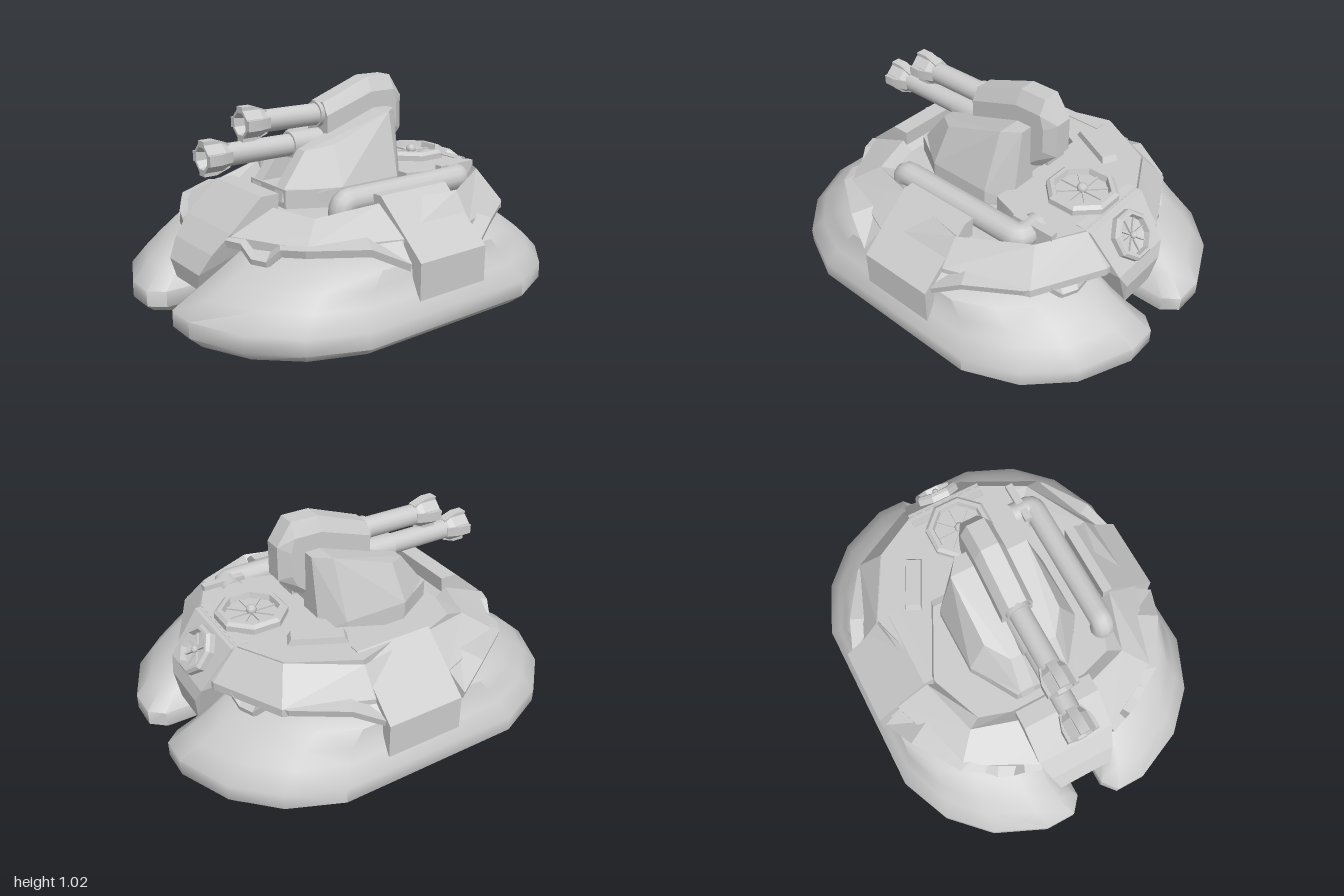
import * as THREE from 'three';
import { toCreasedNormals } from 'three/addons/utils/BufferGeometryUtils.js';
import { ConvexGeometry } from 'three/addons/geometries/ConvexGeometry.js';

const grey = new THREE.MeshStandardMaterial({ color: 0xcccccc });
const greyDouble = new THREE.MeshStandardMaterial({ color: 0xcccccc, side: THREE.DoubleSide });
const V = (x, y, z) => new THREE.Vector3(x, y, z);

function add(parent, name, geo, crease = 0.5, mat = grey) {
  const mesh = new THREE.Mesh(toCreasedNormals(geo, crease), mat);
  mesh.name = name;
  parent.add(mesh);
  return mesh;
}

// Closed solid through rings of equal length; winding is fixed by signed volume
function loft(rings) {
  const n = rings[0].length, pts = rings.flat(), idx = [];
  for (let r = 0; r < rings.length - 1; r++)
    for (let j = 0; j < n; j++) {
      const a = r * n + j, b = r * n + (j + 1) % n;
      idx.push(a, b, b + n, a, b + n, a + n);
    }
  [0, rings.length - 1].forEach((r, end) => {
    const c = V(0, 0, 0);
    rings[r].forEach(p => c.addScaledVector(p, 1 / n));
    const ci = pts.push(c) - 1;
    for (let j = 0; j < n; j++) {
      const a = r * n + j, b = r * n + (j + 1) % n;
      end ? idx.push(a, b, ci) : idx.push(b, a, ci);
    }
  });
  let vol = 0;
  for (let i = 0; i < idx.length; i += 3)
    vol += pts[idx[i]].dot(pts[idx[i + 1]].clone().cross(pts[idx[i + 2]]));
  if (vol < 0) idx.reverse();
  const g = new THREE.BufferGeometry().setFromPoints(pts);
  g.setIndex(idx);
  return g;
}

// Prism from a side profile of [z, y] pairs, extruded along x
function sideSolid(profile, x0, x1) {
  const s = new THREE.Shape(profile.map(([z, y]) => new THREE.Vector2(-z, y)));
  return new THREE.ExtrudeGeometry(s, { depth: x1 - x0, bevelEnabled: false }).rotateY(Math.PI / 2).translate(x0, 0, 0);
}

// Octagonal intake with a ring, a sunken cone, spokes and a hub; axis is +y
function fan(parent, name, r) {
  const g = new THREE.Group();
  g.name = name;
  parent.add(g);
  const ring = [[0.92, -0.03], [1, -0.03], [1, 0.015], [0.9, 0.03], [0.78, 0.03], [0.74, 0.0], [0.15, -0.015], [0, -0.015]]
    .map(([k, y]) => new THREE.Vector2(k * r, y));
  add(g, name + 'Ring', new THREE.LatheGeometry(ring, 8, Math.PI / 8), 0.2, greyDouble);
  for (let i = 0; i < 8; i++)
    add(g, 'spoke', new THREE.BoxGeometry(r * 0.68, 0.012, r * 0.06).translate(r * 0.42, 0.002, 0).rotateY(i * Math.PI / 4));
  add(g, 'hub', new THREE.SphereGeometry(r * 0.15, 10, 6).translate(0, 0.015, 0), 1);
  return g;
}

// Barrel with a stepped sleeve and a four-lug hollow muzzle
function barrel(parent, y, sleeveEnd, tip) {
  const g = new THREE.Group();
  g.name = 'barrel';
  g.position.y = y;
  parent.add(g);
  const tube = (name, r, z0, z1) => add(g, name,
    new THREE.CylinderGeometry(r, r, z1 - z0, 16).rotateX(Math.PI / 2).translate(0, 0, (z0 + z1) / 2));
  tube('sleeve', 0.063, 0, sleeveEnd);
  tube('tube', 0.053, 0, tip - 0.06);
  const prof = [[0, -0.12], [0.055, -0.12], [0.068, -0.09], [0.068, 0], [0.054, 0], [0.045, -0.05], [0, -0.055]]
    .map(([r, h]) => new THREE.Vector2(r, h));
  add(g, 'muzzle', new THREE.LatheGeometry(prof, 8, Math.PI / 8).rotateX(Math.PI / 2).translate(0, 0, tip), 0.2, greyDouble);
  for (let i = 0; i < 4; i++) {
    const lug = sideSolid([[tip, 0.052], [tip, 0.08], [tip - 0.06, 0.08], [tip - 0.13, 0.055], [tip - 0.13, 0.045]], -0.024, 0.024);
    add(g, 'muzzleLug', lug.rotateZ(i * Math.PI / 2));
  }
}

export function createModel() {
  const model = new THREE.Group();
  model.name = 'hoverTank';

  // Inflated floats, one per side
  const foot = [[-1, 0.93], [-0.84, 1], [-0.44, 1], [0.23, 0.89], [0.71, 0.71], [1, 0.46]];
  const footLoop = [...foot, ...foot.map(([u, w]) => [u, -w]).reverse()];
  const layers = [[0, 0.12, 0.77, 0.95], [0.045, 0.07, 0.82, 1], [0.12, 0.07, 0.82, 1], [0.2, 0.12, 0.77, 0.91],
    [0.26, 0.145, 0.74, 0.83], [0.33, 0.15, 0.73, 0.71], [0.37, 0.21, 0.66, 0.58], [0.4, 0.3, 0.55, 0.4]];
  for (const s of [1, -1]) {
    const rings = layers.map(([y, xi, xo, zh]) =>
      footLoop.map(([u, w]) => V(s * ((xi + xo) / 2 + u * (xo - xi) / 2), y, w * zh)));
    add(model, s > 0 ? 'leftFloat' : 'rightFloat', loft(rings), 0.85);
  }

  // Hull shell with a recessed deck
  const mirrorLoop = half => [...half.map(p => V(...p)), ...half.map(([x, y, z]) => V(-x, y, z)).reverse()];
  const outline = [[0.2, 0.74], [0.53, 0.57], [0.68, 0.17], [0.68, -0.23], [0.53, -0.61], [0.2, -0.78]];
  const level = (y, k) => mirrorLoop(outline.map(([x, z]) => [x * k, y, z * k]));
  const rim = [[0.2, 0.51, 0.52], [0.42, 0.5, 0.45], [0.51, 0.54, 0.16], [0.59, 0.55, -0.23], [0.42, 0.57, -0.54], [0.2, 0.57, -0.66]];
  const deck = [[0.2, 0.47, 0.46], [0.36, 0.47, 0.41], [0.46, 0.47, 0.16], [0.52, 0.48, -0.23], [0.38, 0.49, -0.5], [0.2, 0.49, -0.62]];
  add(model, 'hull', loft([level(0.33, 0.85), level(0.38, 1), level(0.42, 1), mirrorLoop(rim), mirrorLoop(deck)]), 0.1);
  add(model, 'belly', new THREE.BoxGeometry(0.26, 0.2, 1.3).translate(0, 0.27, 0));

  // Raised rear deck, leaving a channel for the pipe on the left
  const deckPlan = [[-0.3, -0.2], [-0.47, 0.15], [-0.58, -0.23], [-0.42, -0.53], [-0.2, -0.65], [0.2, -0.65], [0.33, -0.58], [0.33, -0.36], [0.28, -0.2]];
  const deckShape = new THREE.Shape(deckPlan.map(([x, z]) => new THREE.Vector2(x, -z)));
  add(model, 'rearDeck', new THREE.ExtrudeGeometry(deckShape, { depth: 0.12, bevelEnabled: false })
    .rotateX(-Math.PI / 2).translate(0, 0.45, 0));

  // Toothed trim below the hull edge, four quarters
  const trim = [[0.2, 0.77, 0.41], [0.28, 0.74, 0.41], [0.33, 0.72, 0.35], [0.4, 0.69, 0.35], [0.45, 0.65, 0.41],
    [0.55, 0.59, 0.42], [0.7, 0.36, 0.42], [0.77, 0.2, 0.34]];
  for (const sx of [1, -1]) for (const sz of [1, -1])
    add(model, 'trim', loft(trim.map(([x, z, y]) => {
      const p = (k, h) => V(sx * x * k, h, sz * z * k);
      return [p(0.84, 0.44), p(1, y), p(0.99, y - 0.035), p(0.84, y - 0.04)];
    })), 0.1);

  // Bent armour plates over both sides
  for (const s of [1, -1]) {
    const prof = [[0.47, 0.575], [0.52, 0.575], [0.79, 0.34], [0.79, 0.17], [0.73, 0.17], [0.72, 0.3], [0.48, 0.45]];
    const shape = new THREE.Shape(prof.map(([x, y]) => new THREE.Vector2(s * x, y)));
    add(model, s > 0 ? 'leftPlate' : 'rightPlate',
      new THREE.ExtrudeGeometry(shape, { depth: 0.39, bevelEnabled: false }).translate(0, 0, -0.225), 0.1);
  }

  // Nose and tail blocks: rows of z, y, half width
  const block = (name, rows) => add(model, name,
    new ConvexGeometry(rows.flatMap(([z, y, w]) => [V(w, y, z), V(-w, y, z)])), 0.1);
  block('noseBlock', [[0.49, 0.57, 0.2], [0.58, 0.57, 0.2], [0.74, 0.43, 0.2], [0.82, 0.34, 0.17], [0.87, 0.25, 0.14],
    [0.86, 0.17, 0.1], [0.5, 0.4, 0.2], [0.65, 0.17, 0.1]]);
  block('tailBlock', [[-0.6, 0.575, 0.2], [-0.68, 0.565, 0.2], [-0.83, 0.37, 0.17], [-0.85, 0.3, 0.13],
    [-0.83, 0.17, 0.1], [-0.6, 0.4, 0.2], [-0.65, 0.17, 0.1]]);

  // Intakes on the rear deck and tail slope
  add(model, 'intakeBase', new THREE.CylinderGeometry(0.17, 0.19, 0.05, 8).rotateY(Math.PI / 8).translate(0, 0.56, -0.48), 0.1);
  fan(model, 'deckIntake', 0.175).position.set(0, 0.585, -0.48);
  const tailFan = fan(model, 'tailIntake', 0.12);
  tailFan.position.set(0, 0.475, -0.765);
  tailFan.rotation.x = -0.93;

  // Turret base and the two wedge cheeks beside the gun
  add(model, 'turretBase', new ConvexGeometry([0.47, 0.56].flatMap(y =>
    [[0.15, 0.42], [0.28, 0.2], [0.28, -0.12], [0.2, -0.23]].flatMap(([x, z]) => [V(x, y, z), V(-x, y, z)]))), 0.1);
  const cheek = [[0.06, 0.5, 0.43], [0.13, 0.5, 0.43], [0.06, 0.55, 0.42], [0.13, 0.55, 0.42], [0.29, 0.5, 0.2], [0.29, 0.57, 0.2],
    [0.29, 0.5, -0.13], [0.29, 0.57, -0.13], [0.2, 0.5, -0.23], [0.06, 0.5, -0.23], [0.06, 0.72, 0.29], [0.12, 0.72, 0.29],
    [0.2, 0.75, 0.18], [0.2, 0.87, -0.15], [0.14, 0.87, -0.23], [0.06, 0.87, -0.23], [0.06, 0.87, -0.15]];
  for (const s of [1, -1])
    add(model, s > 0 ? 'leftCheek' : 'rightCheek', new ConvexGeometry(cheek.map(([x, y, z]) => V(s * x, y, z))), 0.1);

  // Gun housing with chamfered top and rear
  const housing = [[0.13, 0.92, 0.86], [0.07, 0.94, 0.87], [-0.14, 1.02, 0.95], [-0.28, 1.02, 0.95], [-0.355, 0.91, 0.88], [-0.355, 0.74, 0.76], [-0.27, 0.65, 0.7]];
  add(model, 'gunHousing', new ConvexGeometry([
    ...housing.flatMap(([z, y, shoulder]) => [V(0.045, y, z), V(-0.045, y, z),
      V(0.08, shoulder, Math.max(z, -0.3)), V(-0.08, shoulder, Math.max(z, -0.3))]),
    V(0.08, 0.64, 0.13), V(-0.08, 0.64, 0.13), V(0.08, 0.64, -0.2), V(-0.08, 0.64, -0.2)]), 0.1);
  add(model, 'gunMount', new THREE.BoxGeometry(0.16, 0.16, 0.34).translate(0, 0.6, -0.03));
  barrel(model, 0.86, 0.15, 0.56);
  barrel(model, 0.73, 0.3, 0.76);

  // Exhaust pipe: front end bends down, rear end bends inward
  const path = new THREE.CurvePath();
  const bends = [V(0.4, 0.42, 0.29), V(0.4, 0.5, 0.29), V(0.4, 0.54, 0.25), V(0.4, 0.54, -0.4), V(0.37, 0.54, -0.44), V(0.28, 0.54, -0.44)];
  path.add(new THREE.LineCurve3(bends[0], bends[1]));
  path.add(new THREE.QuadraticBezierCurve3(bends[1], V(0.4, 0.54, 0.29), bends[2]));
  path.add(new THREE.LineCurve3(bends[2], bends[3]));
  path.add(new THREE.QuadraticBezierCurve3(bends[3], V(0.4, 0.54, -0.44), bends[4]));
  path.add(new THREE.LineCurve3(bends[4], bends[5]));
  add(model, 'exhaustPipe', new THREE.TubeGeometry(path, 60, 0.06, 12), 0.8);
  add(model, 'pipeFlange', new THREE.BoxGeometry(0.04, 0.12, 0.22).translate(0.335, 0.535, -0.47));

  // Slanted hatch on the right rear deck
  const hatch = new THREE.CylinderGeometry(0.05 * Math.SQRT1_2 * 1.6, 0.07, 0.05, 4, 1).rotateY(Math.PI / 4).scale(0.9, 1, 3);
  const vent = add(model, 'hatch', hatch, 0.1);
  vent.position.set(-0.34, 0.575, -0.32);
  vent.rotation.y = -0.46 + Math.PI;

  return model;
}
